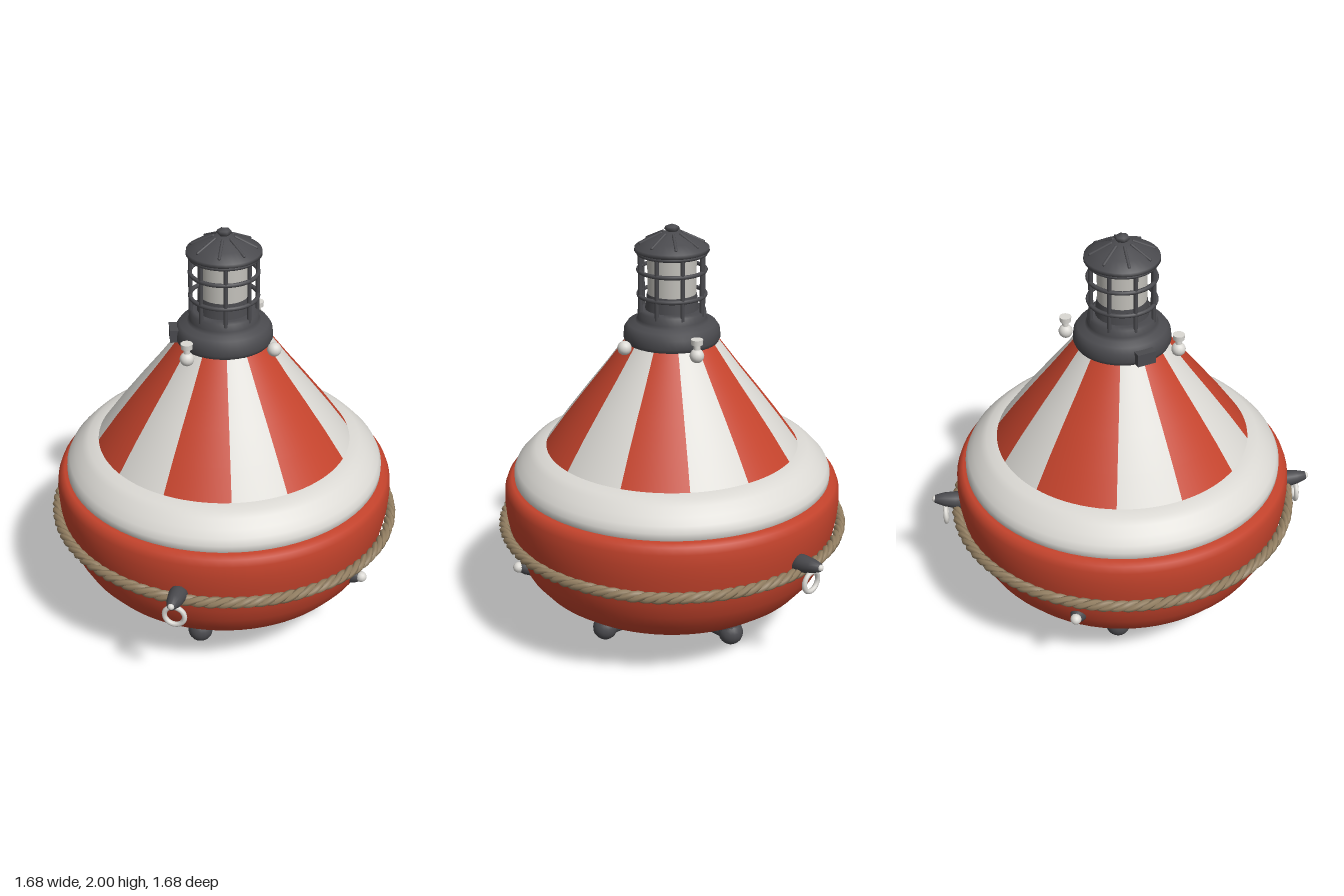
import * as THREE from 'three';

const mat = (name, color, extra = {}) =>
  Object.assign(new THREE.MeshStandardMaterial({ color, ...extra }), { name });
const V = (x, y, z) => new THREE.Vector3(x, y, z);

export function createModel() {
  const root = new THREE.Group();
  root.name = 'buoy';
  const red = mat('red paint', 0xc4432c);
  const white = mat('white paint', 0xdbd9d4);
  const dark = mat('dark iron', 0x4a4a4e);
  const tan = mat('rope', 0x937f62);
  const glass = mat('lamp glass', 0xc3c1bb);

  const add = (name, geo, material, parent = root) => {
    const m = new THREE.Mesh(geo, material);
    m.name = name;
    parent.add(m);
    return m;
  };
  // profile points are [radius, height], bottom to top
  const lathe = (pts, seg = 64, start = 0, len = Math.PI * 2) =>
    new THREE.LatheGeometry(pts.map(p => new THREE.Vector2(p[0], p[1])), seg, start, len);
  const rod = (name, a, b, r, material, parent = root) => {
    const d = b.clone().sub(a);
    const m = add(name, new THREE.CapsuleGeometry(r, d.length(), 5, 12), material, parent);
    m.position.copy(a).add(b).multiplyScalar(0.5);
    m.quaternion.setFromUnitVectors(V(0, 1, 0), d.normalize());
    return m;
  };

  // Hull and shoulder band
  add('hull', lathe([[0, 0.115], [0.18, 0.118], [0.31, 0.13], [0.42, 0.152], [0.52, 0.187], [0.6, 0.228],
    [0.665, 0.275], [0.715, 0.335], [0.75, 0.4], [0.773, 0.47], [0.787, 0.54], [0.8, 0.61], [0.805, 0.68],
    [0.802, 0.74], [0.79, 0.772], [0.77, 0.785], [0.73, 0.785]], 80), red);
  add('shoulderBand', lathe([[0.74, 0.77], [0.756, 0.79], [0.756, 0.82], [0.742, 0.85], [0.715, 0.88],
    [0.68, 0.915], [0.65, 0.932], [0.61, 0.942], [0.58, 0.945]], 80), white);

  // Striped cone: start and end angle of each red stripe, white between
  const stripes = [[-142, -112], [-87, -48], [-18, 12], [39, 69], [94, 132], [161, 192]];
  const cone = [[0.605, 0.935], [0.51, 1.07], [0.412, 1.2], [0.315, 1.325], [0.215, 1.46]];
  const sector = (name, a, b, material) => add(name,
    lathe(cone, 10, THREE.MathUtils.degToRad(a + 90), THREE.MathUtils.degToRad(b - a)), material);
  stripes.forEach(([a, b], i) => {
    const next = i < 5 ? stripes[i + 1][0] : stripes[0][0] + 360;
    sector('redStripe', a, b, red);
    sector('whiteStripe', b, next, white);
  });

  // Three-strand rope round the hull
  const rope = new THREE.Group();
  rope.name = 'rope';
  rope.position.y = 0.552;
  rope.rotation.z = -0.015;
  root.add(rope);
  for (let s = 0; s < 3; s++) {
    const pts = [];
    for (let i = 0; i < 480; i++) {
      const t = i / 480 * Math.PI * 2, w = t * 30 + s * Math.PI * 2 / 3;
      const r = 0.815 + 0.012 * Math.cos(w);
      pts.push(V(r * Math.sin(t), 0.012 * Math.sin(w), r * Math.cos(t)));
    }
    add('ropeStrand', new THREE.TubeGeometry(new THREE.CatmullRomCurve3(pts, true), 720, 0.0155, 6, true), tan, rope);
  }

  // Pegs on the hull, in opposite pairs; the upper pair carries rings
  const peg = (phi, y, r0, length, radius, tilt, hasRing) => {
    const g = new THREE.Group();
    g.name = hasRing ? 'ringPeg' : 'lowerPeg';
    g.rotation.y = phi;
    root.add(g);
    const body = new THREE.Group();
    body.position.set(0, y, r0);
    body.rotation.x = Math.PI / 2 - tilt;
    g.add(body);
    add('pegBody', lathe([[0, 0], [radius, 0], [radius * 1.05, length * 0.4], [radius * 0.85, length * 0.7],
      [radius * 0.5, length * 0.95], [0, length]], 16), dark, body);
    const tip = add('pegTip', new THREE.SphereGeometry(hasRing ? 0.016 : 0.026, 12, 8), white, body);
    tip.position.y = length * 0.95;
    if (hasRing) {
      const ring = add('ring', new THREE.TorusGeometry(0.047, 0.012, 8, 24), white, g);
      ring.position.set(0, 0.508, 0.872);
    }
  };
  for (const turn of [0, Math.PI]) {
    peg(-0.695 + turn, 0.572, 0.75, 0.18, 0.04, 0.14, true);
    peg(0.505 + turn, 0.42, 0.69, 0.11, 0.042, 0.14, false);
  }

  // Four feet with stub legs and inward toes
  for (const sx of [-1, 1]) for (const sz of [-1, 1]) {
    const foot = new THREE.Group();
    foot.name = 'foot';
    foot.scale.set(1, 1, 1);
    root.add(foot);
    rod('leg', V(sx * 0.25, 0.16, sz * 0.28), V(sx * 0.265, 0.08, sz * 0.3), 0.053, dark, foot);
    rod('toe', V(sx * 0.265, 0.058, sz * 0.3), V(sx * 0.13, 0.063, sz * 0.135), 0.04, dark, foot);
    const heel = add('heel', new THREE.SphereGeometry(0.06, 16, 12), dark, foot);
    heel.position.set(sx * 0.27, 0.061, sz * 0.305);
  }

  // Collar and lantern floor
  add('collar', lathe([[0.19, 1.44], [0.215, 1.45], [0.226, 1.475], [0.222, 1.515], [0.205, 1.54],
    [0.17, 1.55], [0.16, 1.565], [0.158, 1.6], [0.14, 1.607], [0, 1.607]], 40), dark);
  const lug = add('collarLug', new THREE.BoxGeometry(0.05, 0.06, 0.09), dark);
  lug.position.set(-0.213, 1.495, -0.075);
  lug.rotation.y = -0.34;

  // White knobs round the collar
  [[0.238, -0.13, true], [-0.24, 0.12, true], [0.155, 0.205, false]].forEach(([x, z, capped]) => {
    add('knob', new THREE.SphereGeometry(0.033, 16, 12), white).position.set(x, 1.458, z);
    if (!capped) return;
    add('knobStem', new THREE.CylinderGeometry(0.015, 0.015, 0.06, 10), white).position.set(x, 1.49, z);
    add('knobCap', new THREE.CylinderGeometry(0.028, 0.026, 0.025, 14), white).position.set(x, 1.523, z);
  });

  // Lamp inside the cage
  add('lampBase', new THREE.CylinderGeometry(0.115, 0.125, 0.08, 24), dark).position.y = 1.64;
  add('lampGlass', new THREE.CylinderGeometry(0.113, 0.113, 0.21, 32), glass).position.y = 1.78;

  // Cage bars and hoops
  for (let i = 0; i < 8; i++) {
    const a = (i + 0.5) * Math.PI / 4;
    add('cageBar', new THREE.CylinderGeometry(0.01, 0.01, 0.3, 8), dark)
      .position.set(0.152 * Math.sin(a), 1.735, 0.152 * Math.cos(a));
  }
  for (const y of [1.675, 1.79, 1.87]) {
    const hoop = add('cageHoop', new THREE.TorusGeometry(0.154, 0.01, 8, 40), dark);
    hoop.rotation.x = Math.PI / 2;
    hoop.position.y = y;
  }

  // Roof, ribs and finial
  add('roof', lathe([[0, 1.872], [0.155, 1.872], [0.172, 1.88], [0.17, 1.897], [0.12, 1.928],
    [0.06, 1.953], [0.035, 1.965], [0, 1.968]], 32), dark);
  for (let i = 0; i < 8; i++) {
    const s = Math.sin(i * Math.PI / 4 + 0.2), c = Math.cos(i * Math.PI / 4 + 0.2);
    rod('roofRib', V(0.145 * s, 1.914, 0.145 * c), V(0.05 * s, 1.959, 0.05 * c), 0.007, dark);
  }
  add('finial', lathe([[0.022, 1.955], [0.024, 1.968], [0.036, 1.978], [0.03, 1.99], [0, 2]], 6), dark);
  return root;
}
